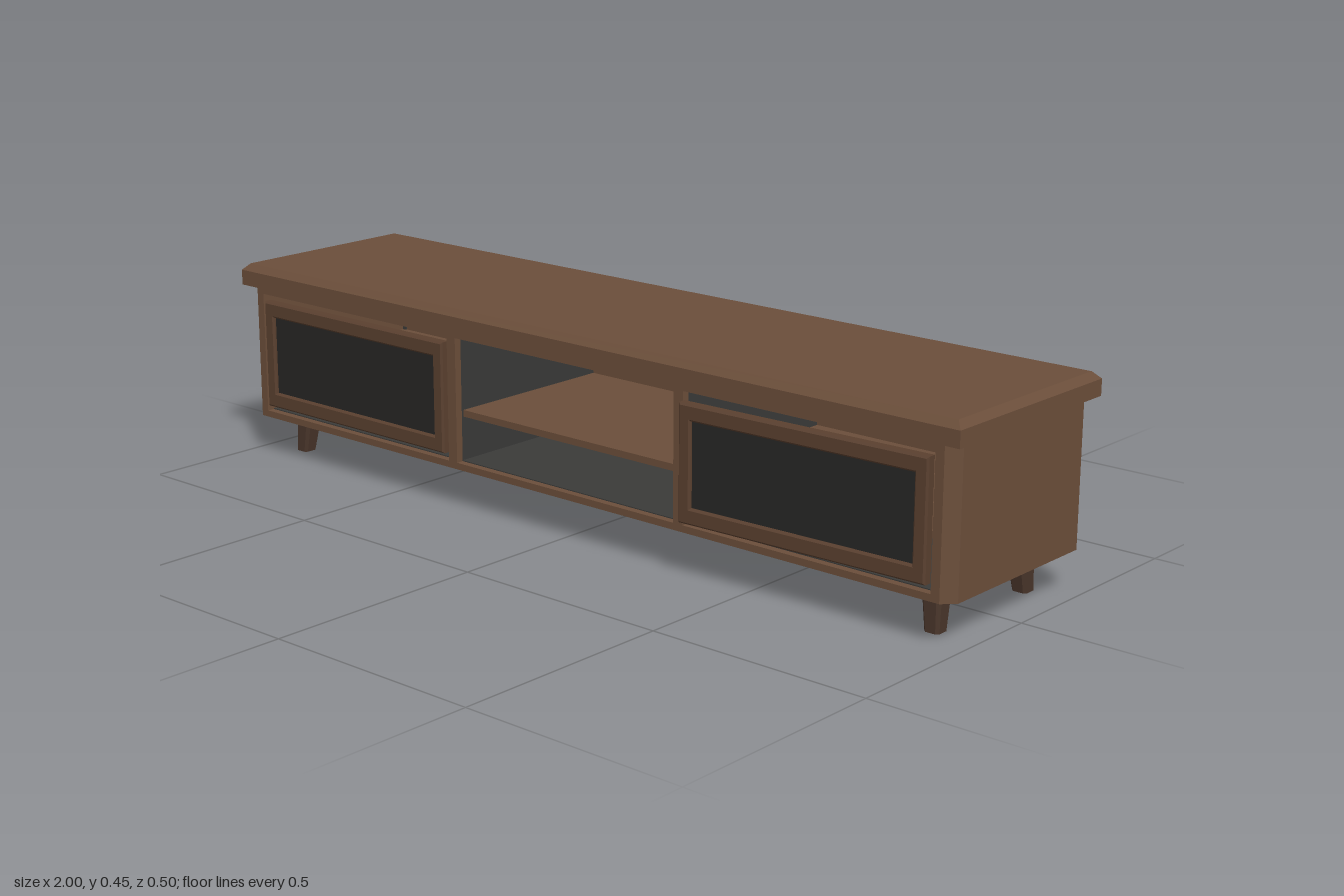
import * as THREE from 'three';

const mat = (color) => new THREE.MeshStandardMaterial({ color, flatShading: true });
const wood = mat(0x6b4e3a), frameWood = mat(0x5a402f), legWood = mat(0x49352a);
const lining = mat(0x3a3a38), glass = mat(0x272625);

export function createModel() {
  const root = new THREE.Group();

  const add = (name, geometry, material, parent = root) => {
    const mesh = new THREE.Mesh(geometry, material);
    mesh.name = name;
    parent.add(mesh);
    return mesh;
  };
  // Box given by its limits on each axis
  const slab = (name, x0, x1, y0, y1, z0, z1, material = wood, parent = root) => {
    const g = new THREE.BoxGeometry(x1 - x0, y1 - y0, z1 - z0);
    g.translate((x0 + x1) / 2, (y0 + y1) / 2, (z0 + z1) / 2);
    return add(name, g, material, parent);
  };
  const rect = (x0, y0, x1, y1, Type = THREE.Shape) => {
    const s = new Type();
    s.moveTo(x0, y0);
    s.lineTo(x1, y0);
    s.lineTo(x1, y1);
    s.lineTo(x0, y1);
    s.closePath();
    return s;
  };
  const polygon = (points) => new THREE.Shape(points.map(([x, y]) => new THREE.Vector2(x, y)));

  // Table top with a chamfered upper edge
  const topGeo = new THREE.BoxGeometry(2, 0.05, 0.483, 1, 2, 1);
  const p = topGeo.attributes.position;
  for (let i = 0; i < p.count; i++) {
    const x = p.getX(i), y = p.getY(i), z = p.getZ(i);
    if (y > 0.02) p.setXYZ(i, x - Math.sign(x) * 0.015, y, z - Math.sign(z) * 0.015);
    else if (y > -0.02) p.setY(i, 0.01);
  }
  topGeo.translate(0, 0.425, -0.0085);
  add('tableTop', topGeo, wood);

  // Carcass: side walls with chamfered corners, floor and ceiling boards
  const [zBack, zFront] = [-0.238, 0.222];
  for (const s of [1, -1]) {
    const outline = [
      [0.94, -zFront], [0.96, -zFront], [0.985, -zFront + 0.025],
      [0.985, -zBack - 0.025], [0.96, -zBack], [0.94, -zBack],
    ].map(([x, y]) => [s * x, y]);
    const wall = new THREE.ExtrudeGeometry(polygon(outline), { depth: 0.31, bevelEnabled: false });
    wall.rotateX(-Math.PI / 2).translate(0, 0.09, 0);
    add(s > 0 ? 'leftWall' : 'rightWall', wall, wood);
  }
  slab('bottomBoard', -0.94, 0.94, 0.09, 0.105, zBack, zFront);
  slab('upperBoard', -0.94, 0.94, 0.385, 0.4, zBack, zFront);

  // Recessed back panel with cable holes
  const back = rect(-0.936, 0.109, 0.936, 0.381);
  for (const [x, y, r] of [[0, 0.268, 0.03], [-0.22, 0.135, 0.02], [0.22, 0.135, 0.02]]) {
    const hole = new THREE.Path();
    hole.absarc(x, y, r, 0, Math.PI * 2, true);
    back.holes.push(hole);
  }
  const backGeo = new THREE.ExtrudeGeometry(back, { depth: 0.012, bevelEnabled: false, curveSegments: 12 });
  add('backPanel', backGeo.translate(0, 0, -0.23), wood);
  // Backing strips that close the groove around the panel
  slab('grooveBottom', -0.94, 0.94, 0.105, 0.112, -0.218, -0.214, lining);
  slab('grooveTop', -0.94, 0.94, 0.378, 0.385, -0.218, -0.214, lining);
  for (const x of [-0.94, 0.93]) slab('grooveSide', x, x + 0.01, 0.105, 0.385, -0.218, -0.214, lining);

  // Dividers with wooden front edges
  for (const s of [1, -1]) {
    const [a, b] = s > 0 ? [0.31, 0.335] : [-0.335, -0.31];
    slab('dividerEdge', a, b, 0.105, 0.385, 0.205, zFront);
    slab('divider', a, b, 0.105, 0.385, -0.218, 0.205, lining);
  }

  // Lining and shelf of each compartment
  for (const [a, b] of [[-0.94, -0.335], [-0.31, 0.31], [0.335, 0.94]]) {
    slab('floorLining', a, b, 0.105, 0.107, -0.218, 0.205, lining);
    slab('ceilingLining', a, b, 0.383, 0.385, -0.218, 0.205, lining);
    slab('shelf', a, b, 0.205, 0.22, -0.218, 0.2);
  }

  // Glazed doors, hinged at the outer edge; the left one stands slightly ajar
  const W = 0.585, H = 0.25, bevel = 0.004;
  for (const s of [1, -1]) {
    const door = new THREE.Group();
    door.name = s > 0 ? 'leftDoor' : 'rightDoor';
    const cx = -s * W / 2;
    const shape = rect(cx - W / 2 + bevel, bevel, cx + W / 2 - bevel, H - bevel);
    shape.holes.push(rect(cx - W / 2 + 0.026, 0.031, cx + W / 2 - 0.026, H - 0.031, THREE.Path));
    const frame = new THREE.ExtrudeGeometry(shape, {
      depth: 0.017, bevelSize: bevel, bevelThickness: bevel, bevelSegments: 1,
    });
    add('doorFrame', frame.translate(0, 0, -0.021), frameWood, door);
    slab('doorGlass', cx - W / 2 + 0.02, cx + W / 2 - 0.02, 0.025, H - 0.025, -0.017, -0.008, glass, door);
    door.position.set(s * 0.93, 0.12, 0.229);
    if (s > 0) door.rotation.y = 0.036;
    root.add(door);
  }

  // Tapered, splayed legs with chamfered corners
  const h = 0.024, c = 0.016;
  const section = [[h, -c], [h, c], [c, h], [-c, h], [-h, c], [-h, -c], [-c, -h], [c, -h]];
  for (const sx of [1, -1]) for (const sz of [1, -1]) {
    const leg = new THREE.ExtrudeGeometry(polygon(section), { depth: 0.09, bevelEnabled: false });
    leg.rotateX(-Math.PI / 2);
    const q = leg.attributes.position;
    for (let i = 0; i < q.count; i++) {
      const t = 1 - q.getY(i) / 0.09, k = 1 - 0.28 * t;
      q.setX(i, q.getX(i) * k + sx * 0.006 * t);
      q.setZ(i, q.getZ(i) * k + sz * 0.009 * t);
    }
    leg.translate(sx * 0.894, 0, -0.008 + sz * 0.142);
    add((sz > 0 ? 'front' : 'back') + (sx > 0 ? 'Left' : 'Right') + 'Leg', leg, legWood);
  }

  return root;
}
